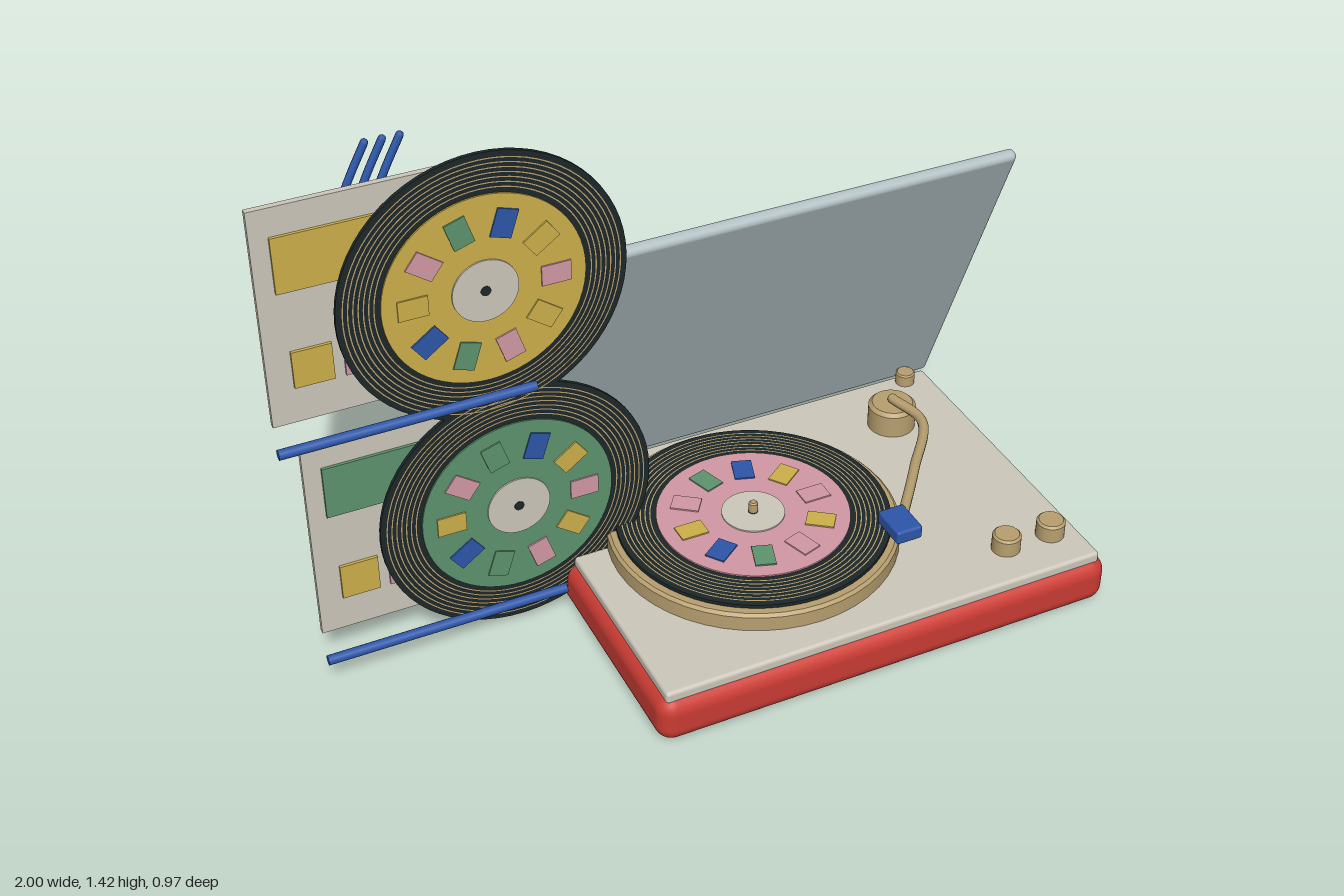
import * as THREE from 'three';
import { RoundedBoxGeometry } from 'three/addons/geometries/RoundedBoxGeometry.js';

const makeMat = (name, color) => {
  const m = new THREE.MeshStandardMaterial({ color });
  m.name = name;
  return m;
};

export function createModel() {
  const red = makeMat('case red', 0xcb3c34);
  const cream = makeMat('cream', 0xcdc8ba);
  const tan = makeMat('brass tan', 0xb8a070);
  const black = makeMat('vinyl black', 0x1d2728);
  const blue = makeMat('blue', 0x2d57aa);
  const yellow = makeMat('yellow', 0xcdb04a);
  const green = makeMat('green', 0x5f946f);
  const pink = makeMat('pink', 0xd298a6);
  const glass = makeMat('lid grey', 0xb2c0c3);

  const model = new THREE.Group();
  model.name = 'recordPlayerDisplay';

  const add = (parent, name, geometry, material, x = 0, y = 0, z = 0) => {
    const mesh = new THREE.Mesh(geometry, material);
    mesh.name = name;
    mesh.position.set(x, y, z);
    parent.add(mesh);
    return mesh;
  };
  const rounded = (w, h, d, r) => new RoundedBoxGeometry(w, h, d, 4, r);

  // Upright-axis turned part with a small chamfer on its top edge
  const turned = (r, h, c = 0.006) => new THREE.LatheGeometry([
    [0, 0], [r, 0], [r, 0], [r, h - c], [r, h - c], [r - c, h], [r - c, h], [0, h],
  ].map(([x, y]) => new THREE.Vector2(x, y)), 48);

  // Disc facing +z, its back at z = 0
  const disc = (r, t) => new THREE.CylinderGeometry(r, r, t, 64)
    .rotateX(Math.PI / 2).translate(0, 0, t / 2);

  // Record facing +z: vinyl, grooves, label, ring of coloured cards, hub
  const makeRecord = (name, labelMat) => {
    const g = new THREE.Group();
    g.name = name;
    add(g, 'vinyl', disc(0.361, 0.01), black);
    for (let i = 0; i < 7; i++) {
      const r = 0.268 + i * 0.0125;
      add(g, 'groove', new THREE.RingGeometry(r, r + 0.003, 72), tan, 0, 0, 0.0112);
    }
    add(g, 'label', disc(0.254, 0.004), labelMat, 0, 0, 0.01);
    const cards = [pink, yellow, blue, green];
    for (let i = 0; i < 10; i++) {
      const a = (i / 10) * Math.PI * 2;
      const card = add(g, 'labelCard', new THREE.BoxGeometry(0.075, 0.054, 0.005),
        cards[i % 4], 0.178 * Math.cos(a), 0.178 * Math.sin(a), 0.0155);
      card.rotation.z = a;
    }
    add(g, 'hub', disc(0.083, 0.004), cream, 0, 0, 0.014);
    add(g, 'centreHole', disc(0.013, 0.003), black, 0, 0, 0.0165);
    model.add(g);
    return g;
  };

  // Case and deck
  add(model, 'case', rounded(1.285, 0.135, 0.95, 0.045), red, 0.357, 0.0675, 0.01);
  add(model, 'deck', rounded(1.24, 0.035, 0.91, 0.01), cream, 0.357, 0.138, 0.01);

  // Lid, hinged at the back and leaning forward at the top
  const lid = add(model, 'lid', rounded(1.28, 0.965, 0.036, 0.016), glass, 0.357, 0.597, -0.293);
  lid.rotation.x = 0.379;

  // Platter with its record and spindle
  add(model, 'platter', turned(0.385, 0.05, 0.008), tan, 0.2, 0.155, 0.005);
  const playing = makeRecord('playingRecord', pink);
  playing.rotation.x = -Math.PI / 2;
  playing.position.set(0.2, 0.208, 0.005);
  add(model, 'spindle', turned(0.012, 0.05, 0.004), tan, 0.2, 0.207, 0.005);

  // Control knobs and hinge posts
  for (const x of [0.765, 0.9])
    add(model, 'knob', turned(0.038, 0.05), tan, x, 0.155, 0.345);
  for (const x of [-0.1, 0.9])
    add(model, 'hingePost', turned(0.027, 0.036, 0.004), tan, x, 0.155, -0.412);

  // Tonearm with pivot and head
  add(model, 'tonearmPivot', turned(0.066, 0.075, 0.01), tan, 0.765, 0.155, -0.255);
  const armPath = new THREE.CatmullRomCurve3([
    [0.765, 0.24, -0.255], [0.785, 0.242, -0.13], [0.66, 0.242, 0.045], [0.52, 0.24, 0.22],
  ].map((p) => new THREE.Vector3(...p)));
  add(model, 'tonearm', new THREE.TubeGeometry(armPath, 32, 0.014, 10), tan);
  add(model, 'tonearmJoint', new THREE.SphereGeometry(0.014, 12, 8), tan, 0.765, 0.24, -0.255);
  add(model, 'tonearmHead', rounded(0.075, 0.04, 0.105, 0.008), blue, 0.512, 0.236, 0.227);

  // Two shelves, each with a record in front of its sleeve
  const displays = [
    { record: [-0.463, 1.042], label: yellow, sleeve: [-0.692, 1.062], rail: [-0.678, 0.752] },
    { record: [-0.41, 0.385], label: green, sleeve: [-0.637, 0.4], rail: [-0.622, 0.09] },
  ];
  for (const d of displays) {
    const record = makeRecord('displayRecord', d.label);
    record.position.set(d.record[0], d.record[1], -0.108);

    const sleeve = new THREE.Group();
    sleeve.name = 'sleeve';
    sleeve.position.set(d.sleeve[0], d.sleeve[1], -0.16);
    add(sleeve, 'sleeveBoard', new THREE.BoxGeometry(0.585, 0.585, 0.016), cream);
    add(sleeve, 'sleevePanel', new THREE.BoxGeometry(0.495, 0.148, 0.008), d.label, 0, 0.144, 0.012);
    [yellow, pink, blue, green].forEach((m, i) => add(sleeve, 'sleeveSquare',
      new THREE.BoxGeometry(0.098, 0.1, 0.008), m, -0.182 + i * 0.125, -0.143, 0.012));
    model.add(sleeve);

    const rail = add(model, 'shelfRail', new THREE.CylinderGeometry(0.013, 0.013, 0.643, 16),
      blue, d.rail[0], d.rail[1], -0.07);
    rail.rotation.z = Math.PI / 2;
  }

  // Three wavy cords behind the sleeves
  for (const offset of [-0.042, 0, 0.042]) {
    const points = [];
    for (let i = 0; i <= 16; i++) {
      const t = i / 16;
      points.push(new THREE.Vector3(
        -0.637 + offset - 0.112 * Math.sin(t * Math.PI * 2), 1.415 - 1.315 * t, -0.232));
    }
    const path = new THREE.CatmullRomCurve3(points);
    add(model, 'wavyCord', new THREE.TubeGeometry(path, 64, 0.01, 8), blue);
    for (const end of [points[0], points[16]])
      add(model, 'cordEnd', new THREE.SphereGeometry(0.01, 8, 6), blue, end.x, end.y, end.z);
  }

  return model;
}
